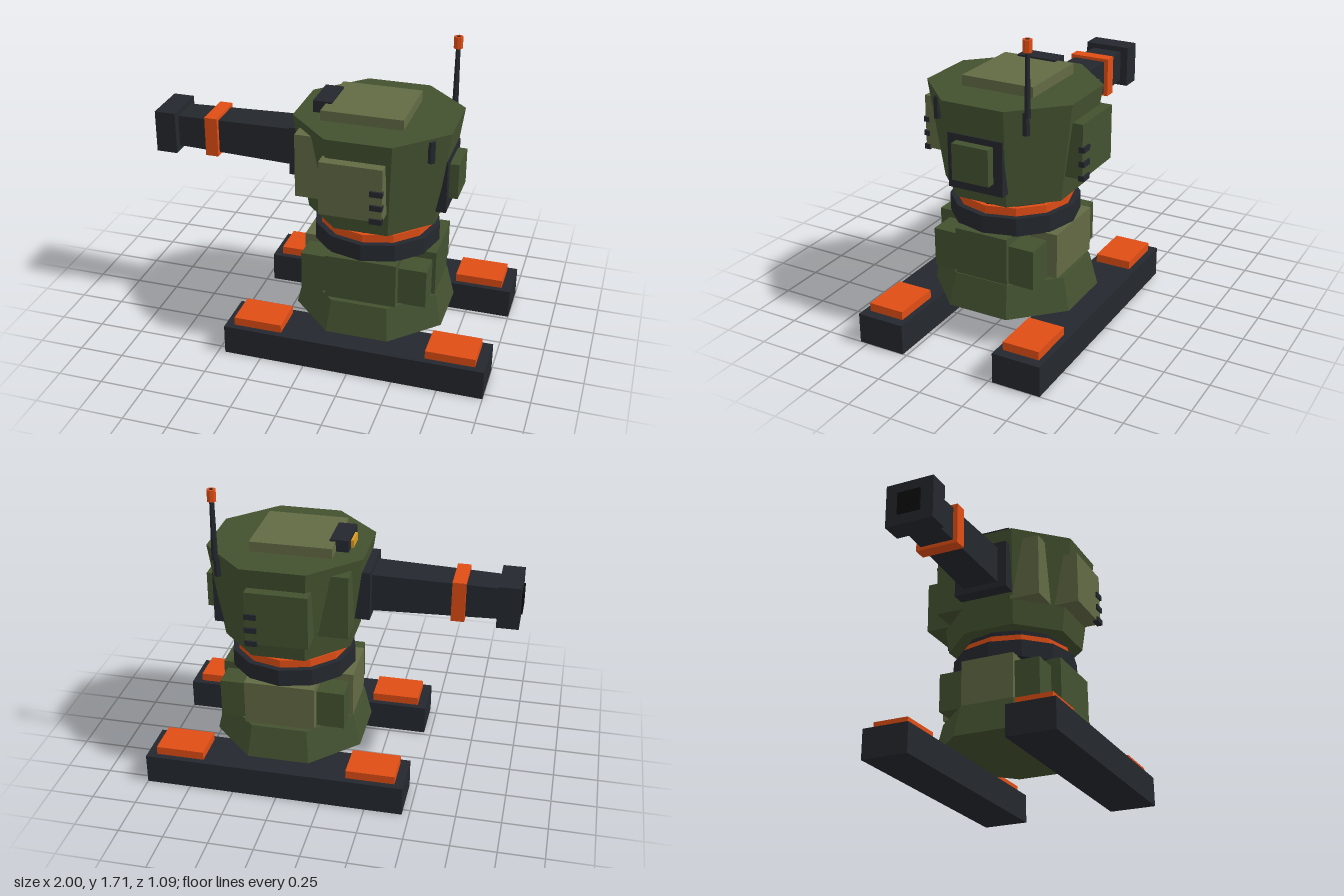
import * as THREE from 'three';

const mat = (color) => new THREE.MeshStandardMaterial({ color, flatShading: true });

export function createModel() {
  const model = new THREE.Group();
  const green = mat(0x445230), olive = mat(0x626a44), dark = mat(0x24282e);
  const orange = mat(0xe04d15), amber = mat(0xd99a20), black = mat(0x0c0d0f);
  const CX = 0.267; // vertical axis of the tower

  const add = (name, geometry, material, x, y, z) => {
    const mesh = new THREE.Mesh(geometry, material);
    mesh.name = name;
    mesh.position.set(x, y, z);
    model.add(mesh);
    return mesh;
  };
  // box given by its extents on each axis
  const box = (name, material, [x0, x1], [y0, y1], [z0, z1]) =>
    add(name, new THREE.BoxGeometry(x1 - x0, y1 - y0, z1 - z0), material,
      (x0 + x1) / 2, (y0 + y1) / 2, (z0 + z1) / 2);
  // octagonal frustum with flats facing the axes, sized by apothem
  const octagon = (name, material, bottom, top, y0, y1) => {
    const k = 1 / Math.cos(Math.PI / 8);
    const g = new THREE.CylinderGeometry(top * k, bottom * k, y1 - y0, 8).rotateY(Math.PI / 8);
    return add(name, g, material, CX, (y0 + y1) / 2, 0);
  };
  const disc = (name, material, r, y0, y1) =>
    add(name, new THREE.CylinderGeometry(r, r, y1 - y0, 12), material, CX, (y0 + y1) / 2, 0);
  // z extent mirrored to either side
  const side = (s, a, b) => (s > 0 ? [a, b] : [-b, -a]);

  // skids with foot pads
  for (const s of [1, -1]) {
    box('skid', dark, [-0.46, 1], [0, 0.17], side(s, 0.273, 0.545));
    for (const x of [-0.41, 0.673])
      box('skidPad', orange, [x, x + 0.272], [0.17, 0.217], side(s, 0.305, 0.51));
  }

  // pedestal: flared foot, core and armour blocks
  octagon('pedestalFoot', green, 0.42, 0.378, 0.17, 0.352);
  box('pedestalCore', green, [CX - 0.2, CX + 0.2], [0.35, 0.57], [-0.21, 0.21]);
  box('leftBlock', green, [CX, 0.64], [0.35, 0.613], [-0.155, 0.155]);
  box('rightBlock', olive, [-0.107, CX], [0.35, 0.613], [-0.155, 0.155]);
  for (const s of [1, -1]) {
    box('sideBlock', s > 0 ? green : olive, [0.07, 0.465], [0.358, 0.613], side(s, 0.2, 0.358));
    for (const x of [[-0.085, 0.08], [0.455, 0.62]])
      box('cornerBlock', green, x, [0.35, 0.57], side(s, 0.14, 0.3));
  }

  // turning ring
  disc('ringBase', dark, 0.354, 0.61, 0.71);
  disc('ringBand', orange, 0.32, 0.71, 0.755);
  disc('ringNeck', dark, 0.297, 0.755, 0.795);

  // turret
  octagon('turret', green, 0.354, 0.43, 0.79, 1.34);
  box('roofHatch', olive, [0, 0.45], [1.33, 1.397], [-0.21, 0.21]);
  box('sensor', dark, [-0.07, 0.033], [1.33, 1.407], [-0.115, 0.115]);
  box('sensorLens', amber, [-0.085, -0.06], [1.342, 1.385], [-0.055, 0.055]);
  for (const s of [1, -1]) {
    const m = s > 0 ? olive : green;
    box('sidePanel', m, [0.07, 0.41], [0.93, 1.23], side(s, 0.3, 0.472));
    for (const y of [0.935, 1.013, 1.092])
      box('vent', dark, [0.345, 0.412], [y - 0.015, y + 0.015], side(s, 0.45, 0.483));
    box('cheekPlate', m, [-0.11, 0.1], [0.93, 1.29], side(s, 0.14, 0.315));
    // antenna sockets
    add('antennaSocket', new THREE.CylinderGeometry(0.02, 0.02, 0.12, 6), dark, 0.612, 1.265, s * 0.26);
  }
  box('hatchFrame', dark, [0.5, 0.68], [0.87, 1.168], [-0.16, 0.16]);
  box('hatchPlate', green, [0.6, 0.73], [0.935, 1.135], [-0.107, 0.107]);

  // antenna
  add('antennaMast', new THREE.CylinderGeometry(0.012, 0.018, 0.4, 6), dark, 0.62, 1.503, -0.273);
  add('antennaTip', new THREE.CylinderGeometry(0.025, 0.025, 0.065, 8), orange, 0.62, 1.671, -0.273);
  add('antennaCap', new THREE.CylinderGeometry(0.011, 0.011, 0.01, 8), dark, 0.62, 1.7, -0.273);

  // gun: mantlet, tapered square barrel, band and muzzle
  box('mantlet', dark, [-0.195, 0.02], [0.972, 1.25], [-0.157, 0.157]);
  const barrel = new THREE.CylinderGeometry(0.09 * Math.SQRT2, 0.106 * Math.SQRT2, 0.7, 4)
    .rotateY(Math.PI / 4).rotateZ(Math.PI / 2);
  add('barrel', barrel, dark, -0.53, 1.112, 0);
  box('barrelBand', orange, [-0.7, -0.627], [0.998, 1.225], [-0.12, 0.12]);
  box('muzzle', dark, [-0.99, -0.87], [0.992, 1.232], [-0.135, 0.135]);
  box('bore', black, [-1, -0.96], [1.05, 1.172], [-0.065, 0.065]);

  return model;
}
